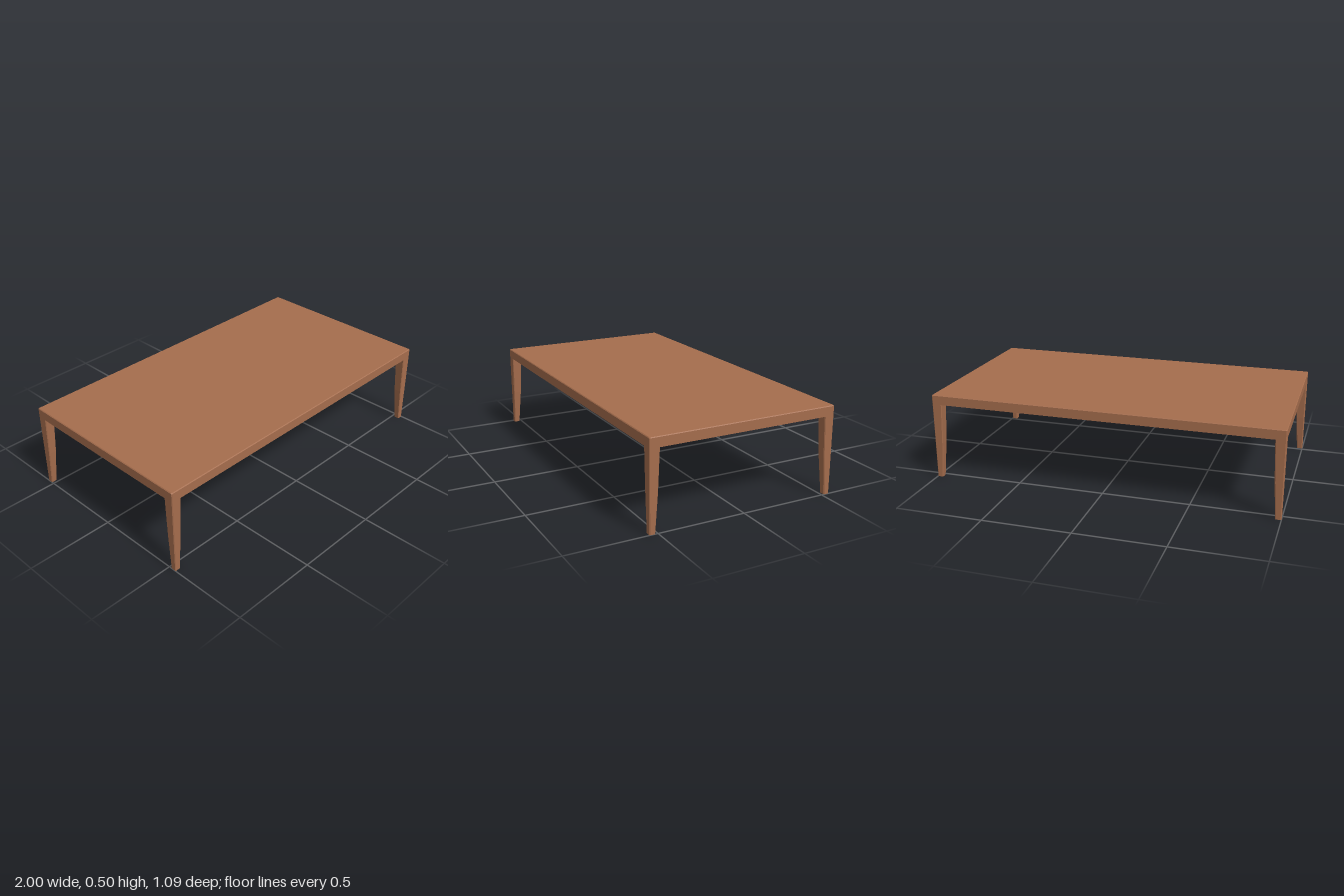
import * as THREE from 'three';
import { ConvexGeometry } from 'three/addons/geometries/ConvexGeometry.js';

const HALF_X = 1, HALF_Z = 0.547, HEIGHT = 0.5, UNDERSIDE = 0.444, BEVEL = 0.004;

// Horizontal rectangle with slightly clipped corners
function ring(y, x0, x1, z0, z1) {
  const c = BEVEL;
  return [
    [x0 + c, z0], [x1 - c, z0], [x1, z0 + c], [x1, z1 - c],
    [x1 - c, z1], [x0 + c, z1], [x0, z1 - c], [x0, z0 + c],
  ].map(([x, z]) => new THREE.Vector3(x, y, z));
}

export function createModel() {
  const table = new THREE.Group();
  table.name = 'lowTable';
  const wood = new THREE.MeshStandardMaterial({ color: 0xa56d4d });
  wood.name = 'warm brown wood';

  const add = (name, rings) => {
    const mesh = new THREE.Mesh(new ConvexGeometry(rings.flat()), wood);
    mesh.name = name;
    table.add(mesh);
  };

  // Slab with a fine bevel around its upper edge
  const slabRing = (y, inset) =>
    ring(y, inset - HALF_X, HALF_X - inset, inset - HALF_Z, HALF_Z - inset);
  add('tableTop', [
    slabRing(UNDERSIDE, 0),
    slabRing(HEIGHT - BEVEL, 0),
    slabRing(HEIGHT, BEVEL),
  ]);

  // Legs: outer faces upright, inner faces tapering with a slight bend
  const profile = [[0, 0.033], [0.21, 0.048], [UNDERSIDE, 0.058]];
  for (const sx of [-1, 1]) {
    for (const sz of [-1, 1]) {
      const rings = profile.map(([y, w]) => {
        const xs = [sx * HALF_X, sx * (HALF_X - w)].sort((a, b) => a - b);
        const zs = [sz * HALF_Z, sz * (HALF_Z - w)].sort((a, b) => a - b);
        return ring(y, ...xs, ...zs);
      });
      add((sz > 0 ? 'front' : 'back') + (sx > 0 ? 'Left' : 'Right') + 'Leg', rings);
    }
  }
  return table;
}
